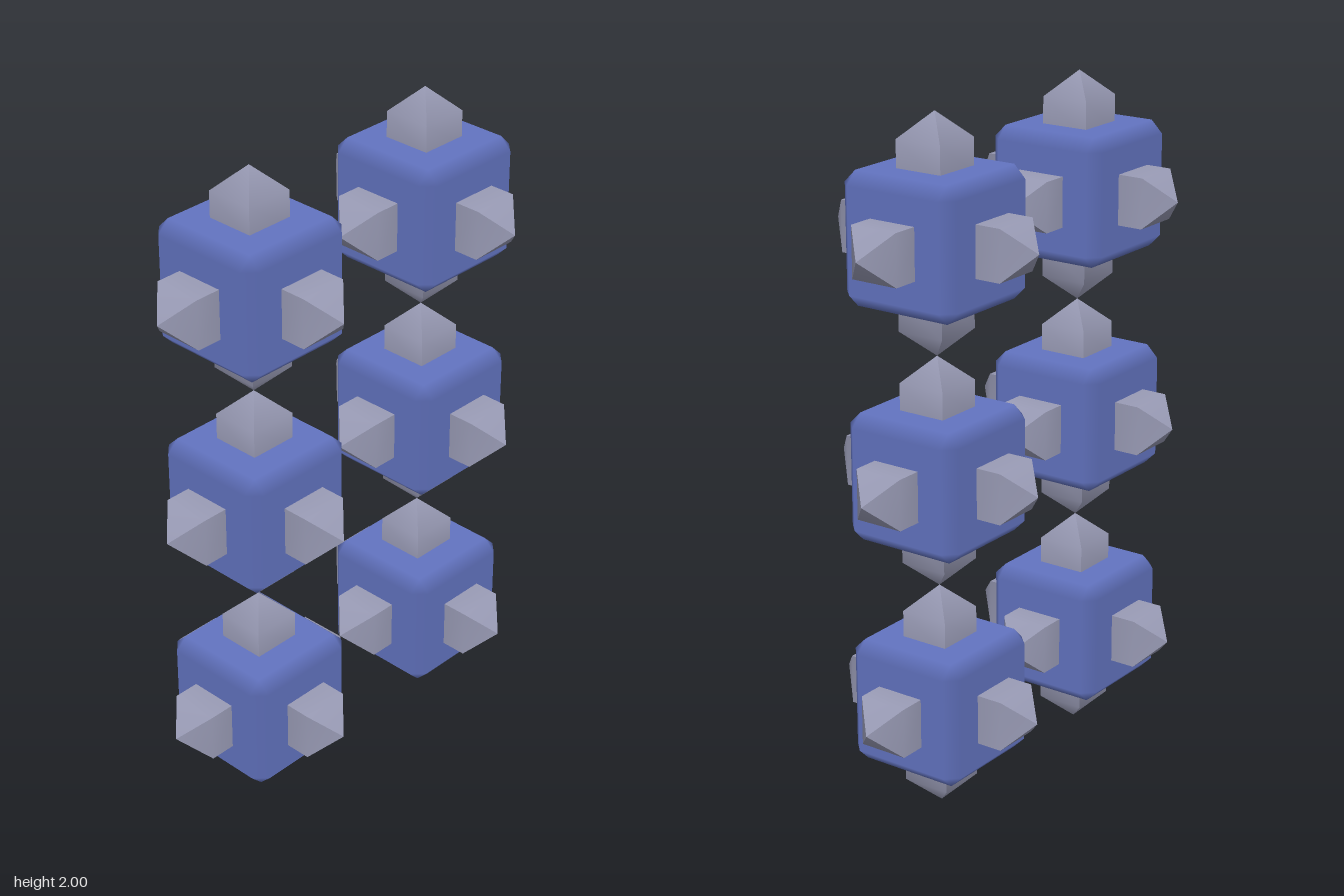
import * as THREE from 'three';
import { toCreasedNormals } from 'three/addons/utils/BufferGeometryUtils.js';
import { ConvexGeometry } from 'three/addons/geometries/ConvexGeometry.js';

const HALF = 0.184;    // half the width of a cube
const BEVEL = 0.036;   // edge bevel
const REACH = 1 / 3;   // cube centre to stud tip
const STUD = 0.0725;   // half the width of a stud

// Cube with chamfered edges; normals blend across the bevels, faces stay flat
function bevelledCube() {
  const points = [];
  const signs = [-1, 1];
  for (const x of signs) for (const y of signs) for (const z of signs) {
    for (let axis = 0; axis < 3; axis++) {
      const p = new THREE.Vector3(x, y, z).multiplyScalar(HALF - BEVEL);
      p.setComponent(axis, [x, y, z][axis] * HALF);
      points.push(p);
    }
  }
  const geometry = new ConvexGeometry(points);
  const position = geometry.attributes.position;
  const p = new THREE.Vector3();
  for (let i = 0; i < position.count; i++) {
    p.fromBufferAttribute(position, i);
    const n = [p.x, p.y, p.z].map((v) => (Math.abs(v) > HALF - BEVEL / 2 ? Math.sign(v) : 0));
    geometry.attributes.normal.setXYZ(i, ...n);
  }
  return geometry;
}

// Square post with a pyramid tip, pointing along +y
function pointedStud() {
  const r = STUD * Math.SQRT2;
  const profile = [[r, HALF - 0.02], [r, REACH - STUD], [0, REACH]];
  const lathe = new THREE.LatheGeometry(profile.map(([x, y]) => new THREE.Vector2(x, y)), 4, Math.PI / 4);
  return toCreasedNormals(lathe, 0.9);
}

export function createModel() {
  const blue = new THREE.MeshStandardMaterial({ color: 0x6273c0 });
  blue.name = 'blue';
  const grey = new THREE.MeshStandardMaterial({ color: 0x9799b3 });
  grey.name = 'grey';

  const cubeGeometry = bevelledCube();
  const studGeometry = pointedStud();
  const up = new THREE.Vector3(0, 1, 0);
  const directions = [[1, 0, 0], [-1, 0, 0], [0, 1, 0], [0, -1, 0], [0, 0, 1], [0, 0, -1]];

  const model = new THREE.Group();
  model.name = 'studdedCubes';

  // Two columns of three cubes, touching at the stud tips
  for (const column of [-1, 1]) {
    for (let row = 0; row < 3; row++) {
      const unit = new THREE.Group();
      unit.name = 'studdedCube';
      unit.position.set(column * REACH, REACH * (1 + 2 * row), 0);

      const cube = new THREE.Mesh(cubeGeometry, blue);
      cube.name = 'cube';
      unit.add(cube);

      // One stud on each face
      for (const d of directions) {
        const stud = new THREE.Mesh(studGeometry, grey);
        stud.name = 'stud';
        stud.quaternion.setFromUnitVectors(up, new THREE.Vector3(...d));
        unit.add(stud);
      }
      model.add(unit);
    }
  }
  return model;
}
